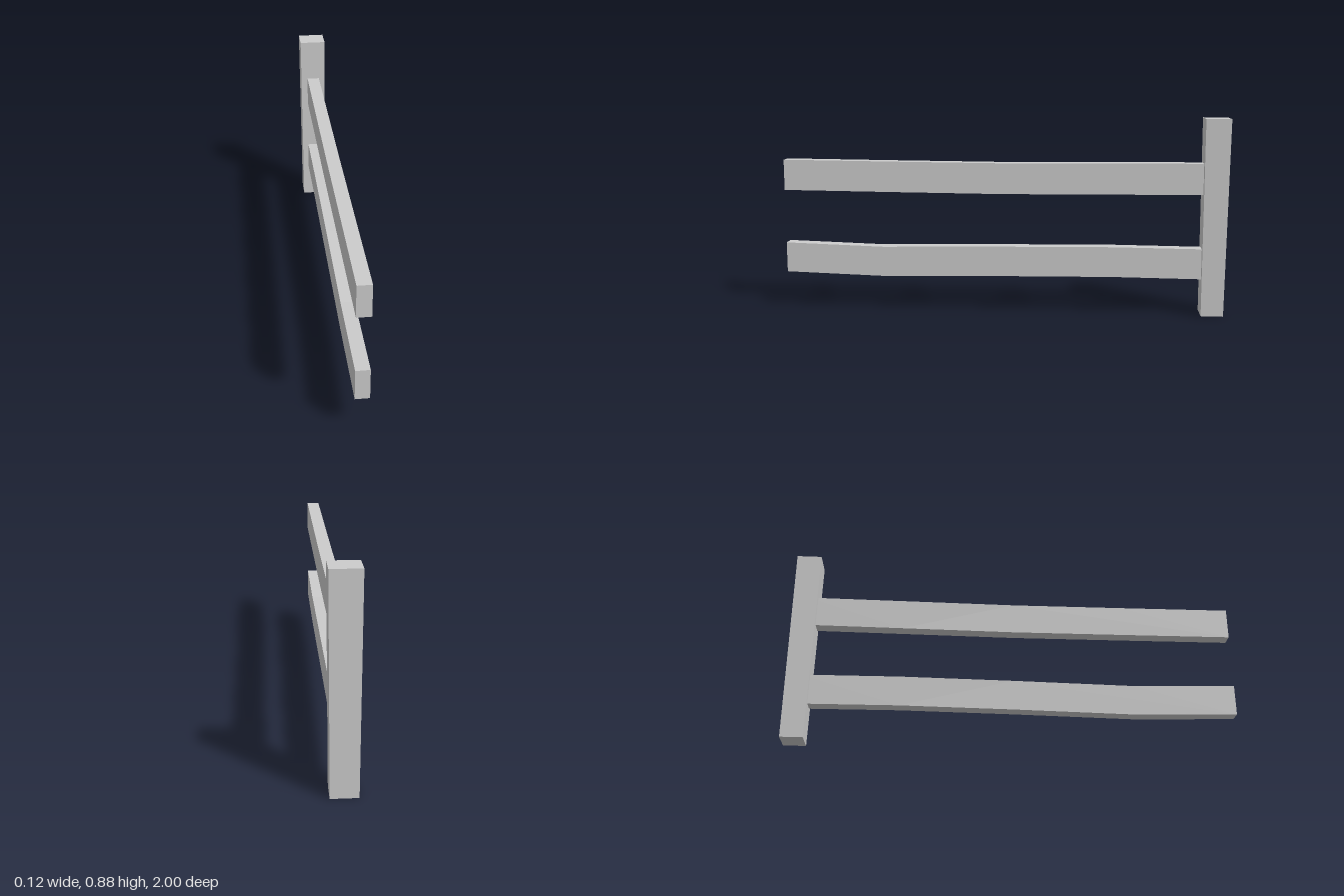
import * as THREE from 'three';

const material = new THREE.MeshStandardMaterial({ color: 0xcccccc, flatShading: true });

// Square post, slightly narrower at the foot
function makePost() {
  const height = 0.882;
  const geometry = new THREE.BoxGeometry(0.123, height, 0.11);
  const pos = geometry.attributes.position;
  for (let i = 0; i < pos.count; i++) {
    if (pos.getY(i) < 0) {
      pos.setX(i, pos.getX(i) * 0.9);
      pos.setZ(i, pos.getZ(i) * 0.9);
    }
  }
  geometry.computeVertexNormals();
  const post = new THREE.Mesh(geometry, material);
  post.name = 'post';
  post.position.set(-0.001, height / 2, -0.945);
  return post;
}

// Plank with a gently bent centre line, given as [z, y] points
function makeRail(name, line, height) {
  const shape = new THREE.Shape();
  line.forEach(([z, y], i) => (i ? shape.lineTo(-z, y - height / 2) : shape.moveTo(-z, y - height / 2)));
  [...line].reverse().forEach(([z, y]) => shape.lineTo(-z, y + height / 2));
  const width = 0.059;
  const geometry = new THREE.ExtrudeGeometry(shape, { depth: width, bevelEnabled: false });
  geometry.translate(0, 0, -width / 2).rotateY(Math.PI / 2);
  const rail = new THREE.Mesh(geometry, material);
  rail.name = name;
  return rail;
}

export function createModel() {
  const group = new THREE.Group();
  group.name = 'fenceSection';
  group.add(
    makePost(),
    makeRail('upperRail', [[1, 0.615], [0.5, 0.611], [0, 0.608], [-0.5, 0.612], [-0.93, 0.615]], 0.139),
    makeRail('lowerRail', [[1, 0.232], [0.55, 0.219], [0, 0.229], [-0.5, 0.235], [-0.93, 0.232]], 0.137),
  );
  return group;
}
